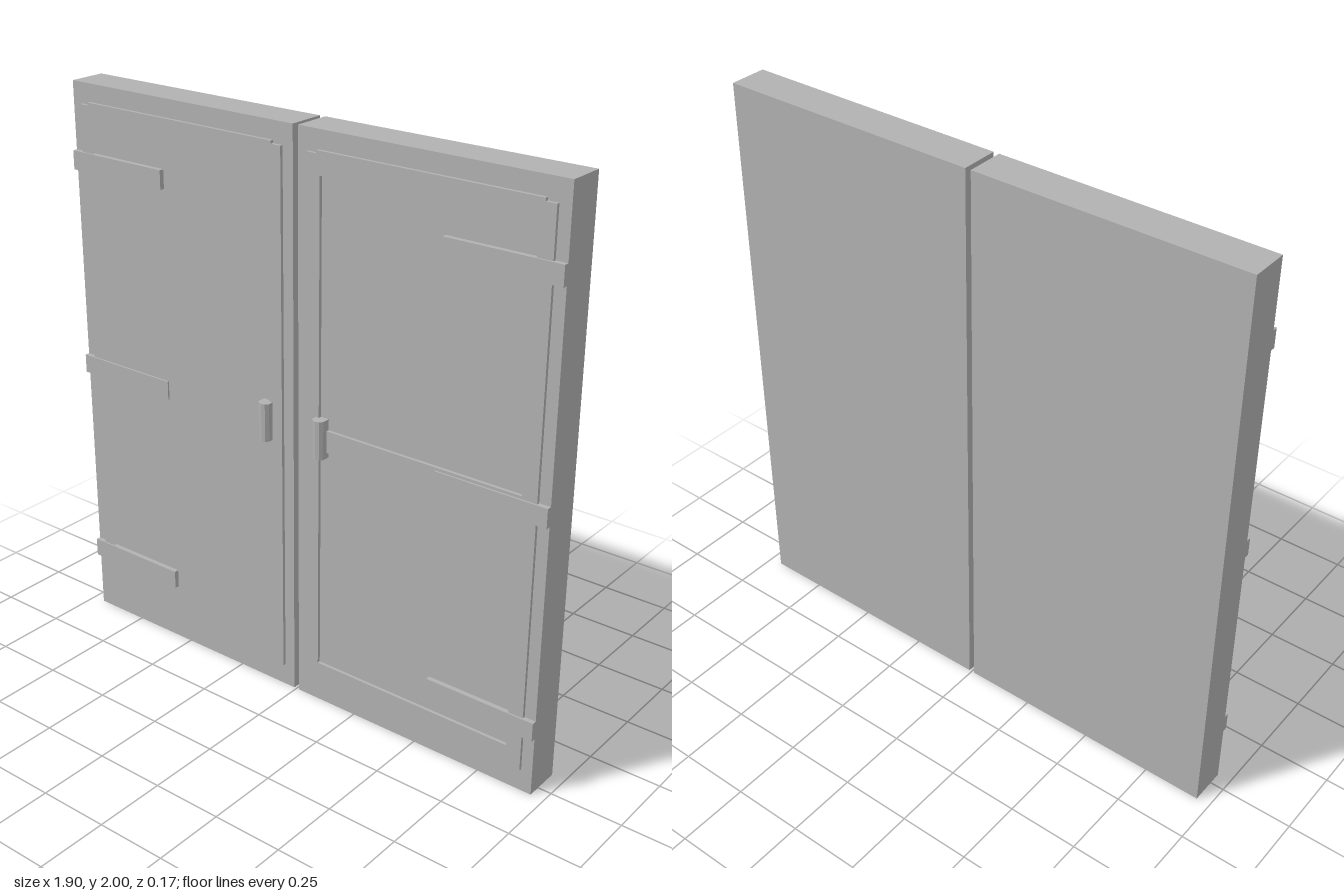
import * as THREE from 'three';

const grey = new THREE.MeshStandardMaterial({ color: 0xb2b2b2 });
grey.name = 'grey';

// Box given by its extents, mirrored in x by side (+1 or -1)
function box(name, side, x0, x1, y0, y1, z0, z1) {
  const mesh = new THREE.Mesh(new THREE.BoxGeometry(x1 - x0, y1 - y0, z1 - z0), grey);
  mesh.position.set(side * (x0 + x1) / 2, (y0 + y1) / 2, (z0 + z1) / 2);
  mesh.name = name;
  return mesh;
}

function rectHole(side, x0, x1, y0, y1) {
  return new THREE.Path([[x0, y0], [x1, y0], [x1, y1], [x0, y1]]
    .map(([x, y]) => new THREE.Vector2(side * x, y)));
}

// Raised moulding with stepped top corners and two recessed panels
function frame(side) {
  const outline = [[0.05, 0.08], [0.912, 0.08], [0.912, 1.928], [0.876, 1.928],
    [0.876, 1.938], [0.088, 1.938], [0.088, 1.928], [0.05, 1.928]];
  const shape = new THREE.Shape(outline.map(([x, y]) => new THREE.Vector2(side * x, y)));
  shape.holes.push(rectHole(side, 0.102, 0.859, 0.153, 0.957));
  shape.holes.push(rectHole(side, 0.102, 0.859, 1.033, 1.862));
  const geometry = new THREE.ExtrudeGeometry(shape, { depth: 0.011, bevelEnabled: false });
  const mesh = new THREE.Mesh(geometry, grey);
  mesh.position.z = 0.045;
  mesh.name = 'frame';
  return mesh;
}

// Upright pull handle: faceted rounded section extruded upwards
function handle(side) {
  const section = [[-0.022, -0.045], [0.022, -0.045], [0.022, -0.073],
    [0.013, -0.084], [0, -0.087], [-0.013, -0.084], [-0.022, -0.073]];
  const shape = new THREE.Shape(section.map(([x, y]) => new THREE.Vector2(x, y)));
  const geometry = new THREE.ExtrudeGeometry(shape, { depth: 0.134, bevelEnabled: false });
  geometry.rotateX(-Math.PI / 2);
  const mesh = new THREE.Mesh(geometry, grey);
  mesh.position.set(side * 0.112, 0.937, 0);
  mesh.name = 'handle';
  return mesh;
}

export function createModel() {
  const model = new THREE.Group();
  model.name = 'doubleDoor';
  for (const side of [1, -1]) {
    const door = new THREE.Group();
    door.name = side > 0 ? 'leftDoor' : 'rightDoor';
    door.add(box('slab', side, 0.01, 0.952, 0, 2, -0.087, 0.045));
    door.add(frame(side));
    door.add(handle(side));
    // Three hinge straps along the outer edge
    for (const y of [0.244, 0.99, 1.733]) {
      door.add(box('hingeStrap', side, 0.552, 0.952, y - 0.033, y + 0.033, 0.045, 0.062));
    }
    model.add(door);
  }
  return model;
}
